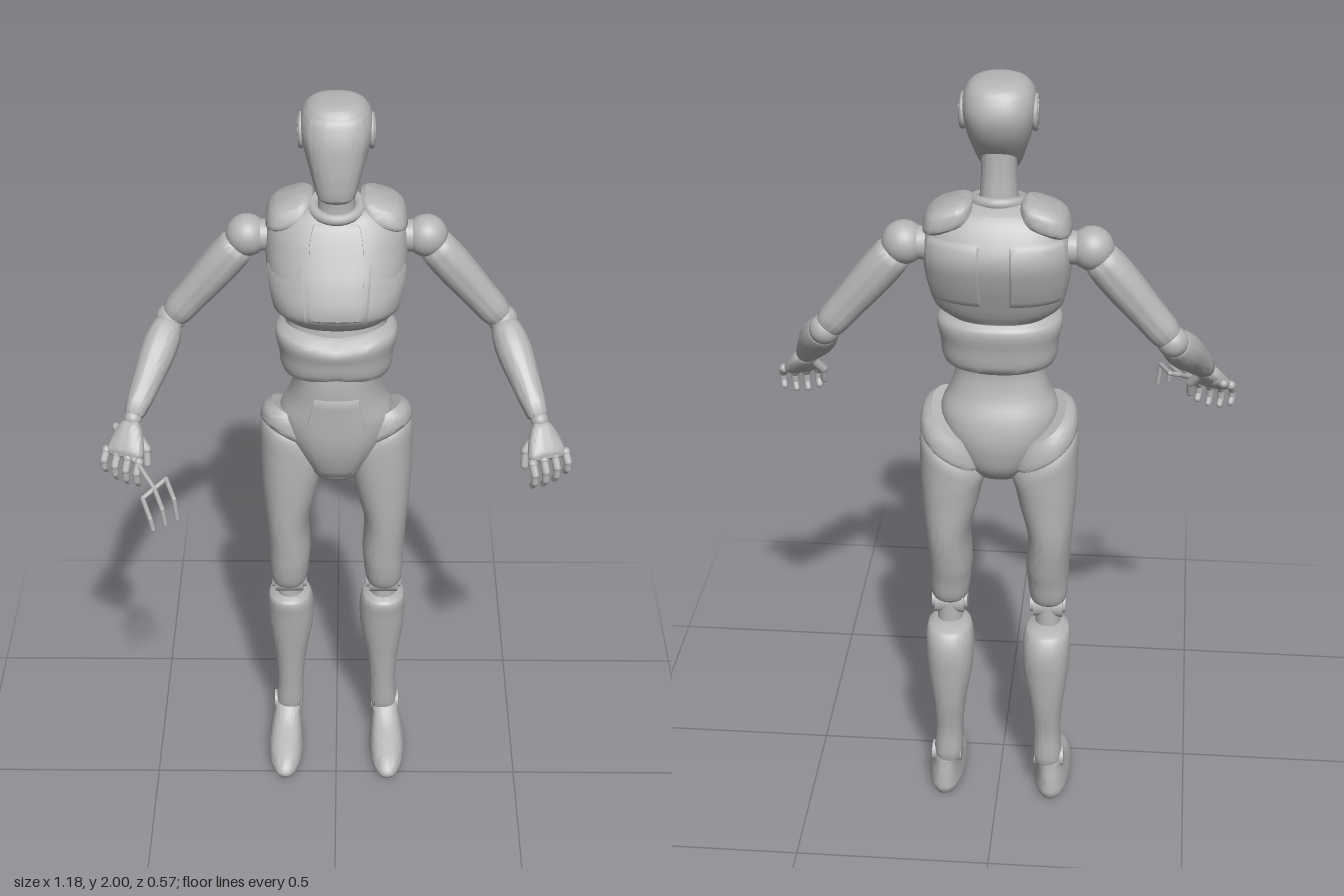
import * as THREE from 'three';
import { toCreasedNormals } from 'three/addons/utils/BufferGeometryUtils.js';

const V = (x, y, z) => new THREE.Vector3(x, y, z);

// Smooth interpolation of section rows [y, cx, cz, halfWidth, frontDepth, backDepth] at height y
function sample(rows, y) {
  const last = rows.length - 1;
  let i = 0;
  while (i < last - 1 && y > rows[i + 1][0]) i++;
  const h = rows[i + 1][0] - rows[i][0], u = (y - rows[i][0]) / h;
  const slope = (k, j) => {
    const a = rows[Math.max(k - 1, 0)], b = rows[Math.min(k + 1, last)];
    return (b[j] - a[j]) / (b[0] - a[0]);
  };
  const u2 = u * u, u3 = u2 * u;
  return rows[i].map((p, j) => (2 * u3 - 3 * u2 + 1) * p + (u3 - 2 * u2 + u) * h * slope(i, j)
    + (3 * u2 - 2 * u3) * rows[i + 1][j] + (u3 - u2) * h * slope(i + 1, j));
}

// Superellipse loft. With a range (from, to, low, high) it makes a raised plate on that surface.
function loft(rows, { n = 2.3, warp, plate, raise = 0.005, crease = 0.75 } = {}) {
  const ys = [], pos = [], index = [], cols = plate ? 20 : 40;
  if (plate) for (let i = 0; i <= 16; i++) ys.push(plate.low + (plate.high - plate.low) * i / 16);
  else {
    rows.slice(1).forEach((r, i) => {
      for (let k = 0; k < 4; k++) ys.push(rows[i][0] + (r[0] - rows[i][0]) * k / 4);
    });
    ys.push(rows[rows.length - 1][0]);
  }
  const stride = plate ? cols + 1 : cols;
  const pw = v => Math.sign(v) * Math.pow(Math.abs(v), 2 / n);
  ys.forEach((y, r) => {
    const [, cx, cz, hw, df, db] = sample(rows, y);
    for (let c = 0; c < stride; c++) {
      const a = plate ? plate.from + (plate.to - plate.from) * c / cols : c / cols * Math.PI * 2;
      const rim = plate && (r === 0 || r === ys.length - 1 || c === 0 || c === cols);
      const e = plate ? (rim ? -0.006 : raise) : 0;
      const p = V(cx + (hw + e) * pw(Math.cos(a)), y, cz + ((Math.sin(a) > 0 ? df : db) + e) * pw(Math.sin(a)));
      if (warp) warp(p, cx, cz);
      pos.push(p.x, p.y, p.z);
    }
  });
  for (let r = 0; r < ys.length - 1; r++) for (let c = 0; c < cols; c++) {
    const d = (c + 1) % stride, a = r * stride, b = a + stride;
    index.push(a + c, b + c, a + d, a + d, b + c, b + d);
  }
  if (!plate) [0, ys.length - 1].forEach(r => {
    const mid = V(0, 0, 0), id = pos.length / 3, o = r * cols;
    for (let c = 0; c < cols; c++) mid.add(V(pos[(o + c) * 3], pos[(o + c) * 3 + 1], pos[(o + c) * 3 + 2]));
    mid.divideScalar(cols);
    pos.push(mid.x, mid.y, mid.z);
    for (let c = 0; c < cols; c++) {
      const d = (c + 1) % cols;
      index.push(id, ...(r === 0 ? [o + c, o + d] : [o + d, o + c]));
    }
  });
  const g = new THREE.BufferGeometry();
  g.setAttribute('position', new THREE.Float32BufferAttribute(pos, 3));
  g.setIndex(index);
  return toCreasedNormals(g, crease);
}

// Turns geometry built along +y so that it runs from a towards b, with its width along side
function aim(geo, a, b, side = V(1, 0, 0)) {
  const y = b.clone().sub(a).normalize();
  const x = side.clone().addScaledVector(y, -side.dot(y)).normalize();
  return geo.applyMatrix4(new THREE.Matrix4().makeBasis(x, y, x.clone().cross(y)).setPosition(a));
}

// Limb with [fraction, halfWidth, halfDepth] stations
function limb(a, b, stations, side) {
  const L = a.distanceTo(b);
  return aim(loft(stations.map(([t, w, d = w]) => [t * L, 0, 0, w, d, d]), { n: 2.1 }), a, b, side);
}

function bar(a, b, r) {
  const L = a.distanceTo(b);
  return aim(new THREE.CapsuleGeometry(r, L, 4, 10).translate(0, L / 2, 0), a, b, V(0.8, 0.1, 0.6));
}

const disc = (r, len, x, y, z) => new THREE.CylinderGeometry(r, r, len, 32).rotateZ(Math.PI / 2).translate(x, y, z);
const ball = (r, p) => new THREE.SphereGeometry(r, 28, 18).translate(p.x, p.y, p.z);

export function createModel() {
  const model = new THREE.Group();
  const grey = new THREE.MeshStandardMaterial({ color: 0xb4b4b4, side: THREE.DoubleSide });
  grey.name = 'matte grey';
  const add = (name, geo) => {
    const m = new THREE.Mesh(geo, grey);
    m.name = name;
    model.add(m);
  };
  const Q = Math.PI / 2;

  // Head, face plate and neck
  const head = [[1.755, 0, -0.065, 0.032, 0.022, 0.02], [1.775, 0, -0.075, 0.047, 0.065, 0.045],
    [1.82, 0, -0.1, 0.062, 0.096, 0.06], [1.87, 0, -0.115, 0.076, 0.108, 0.083],
    [1.92, 0, -0.115, 0.086, 0.1, 0.1], [1.96, 0, -0.115, 0.083, 0.085, 0.09],
    [1.985, 0, -0.115, 0.068, 0.07, 0.07], [1.997, 0, -0.115, 0.042, 0.045, 0.04], [2, 0, -0.115, 0.01, 0.01, 0.01]];
  add('head', loft(head, { n: 2.4 }));
  add('facePlate', loft(head, { n: 2.4, plate: { from: Q - 0.8, to: Q + 0.8, low: 1.768, high: 1.982 } }));
  add('neck', loft([[1.66, 0, -0.135, 0.05, 0.05, 0.05], [1.72, 0, -0.132, 0.045, 0.042, 0.046],
    [1.78, 0, -0.125, 0.042, 0.042, 0.045], [1.86, 0, -0.12, 0.045, 0.045, 0.045]]));
  add('neckCollar', new THREE.TorusGeometry(0.058, 0.014, 12, 36).rotateX(Q + 0.2).translate(0, 1.705, -0.14));

  // Chest with front, side and shoulder blade plates
  const chest = [[1.415, 0, -0.13, 0.12, 0.1, 0.09], [1.44, 0, -0.14, 0.15, 0.138, 0.095],
    [1.475, 0, -0.15, 0.163, 0.165, 0.1], [1.54, 0, -0.165, 0.174, 0.16, 0.11],
    [1.6, 0, -0.175, 0.176, 0.14, 0.112], [1.655, 0, -0.175, 0.165, 0.11, 0.09],
    [1.695, 0, -0.17, 0.125, 0.078, 0.065], [1.712, 0, -0.165, 0.07, 0.05, 0.04]];
  add('chest', loft(chest, { n: 2.4 }));
  add('breastPlate', loft(chest, { n: 2.4, raise: 0.007, plate: { from: Q - 0.33, to: Q + 0.33, low: 1.455, high: 1.69 } }));
  for (const s of [1, -1]) {
    const mid = Q - s * 0.8;
    const slope = p => { if (p.y > 1.5) p.y -= (Math.abs(p.x) - 0.06) * 0.45 * (p.y - 1.5) / 0.12; };
    add('pectoralPlate', loft(chest, { n: 2.4, warp: slope, plate: { from: mid - 0.44, to: mid + 0.44, low: 1.445, high: 1.615 } }));
    const back = -Q + s * 0.62;
    add('shoulderBladePlate', loft(chest, { n: 2.4, plate: { from: back - 0.5, to: back + 0.5, low: 1.47, high: 1.65 } }));
  }

  // Abdomen band, with a dipped top edge and raised lower edge at the front
  const dip = (p, cx, cz) => {
    const f = Math.max(0, (p.z - cz) / 0.14) ** 2 * (1 - Math.abs(p.x) / 0.16);
    p.y += f * (p.y - 1.335) * -0.45;
  };
  add('abdomen', loft([[1.262, 0, -0.11, 0.1, 0.095, 0.075], [1.278, 0, -0.11, 0.134, 0.11, 0.096],
    [1.335, 0, -0.11, 0.145, 0.118, 0.105], [1.39, 0, -0.11, 0.152, 0.122, 0.112],
    [1.412, 0, -0.11, 0.125, 0.09, 0.09]], { warp: dip }));

  // Waist and pelvis
  const pelvis = [[0.945, 0, -0.1, 0.03, 0.03, 0.03], [0.96, 0, -0.11, 0.06, 0.06, 0.06],
    [1, 0, -0.12, 0.085, 0.092, 0.095], [1.05, 0, -0.12, 0.115, 0.108, 0.112], [1.1, 0, -0.12, 0.138, 0.116, 0.115],
    [1.15, 0, -0.115, 0.145, 0.112, 0.108], [1.2, 0, -0.11, 0.122, 0.108, 0.09], [1.26, 0, -0.1, 0.107, 0.098, 0.088],
    [1.32, 0, -0.1, 0.115, 0.09, 0.095], [1.43, 0, -0.11, 0.13, 0.08, 0.1]];
  add('waistAndPelvis', loft(pelvis));
  add('pelvisPlate', loft(pelvis, { raise: 0.004, plate: { from: Q - 0.5, to: Q + 0.5, low: 0.965, high: 1.24 } }));

  for (const s of [1, -1]) {
    const P = (x, y, z) => V(s * x, y, z);
    const side = rows => rows.map(([y, x, ...r]) => [y, s * x, ...r]);

    // Ear disc with ring
    add('earDisc', disc(0.03, 0.03, s * 0.077, 1.915, -0.117));
    add('earRing', new THREE.TorusGeometry(0.037, 0.007, 10, 36).rotateY(Q).translate(s * 0.084, 1.915, -0.117));

    // Shoulder pad
    add('shoulderPad', loft(side([[1.665, 0.115, -0.175, 0.05, 0.07, 0.065], [1.675, 0.115, -0.175, 0.06, 0.08, 0.075],
      [1.71, 0.112, -0.18, 0.054, 0.07, 0.065], [1.722, 0.11, -0.18, 0.04, 0.05, 0.05]]),
    { n: 3, warp: p => { p.y -= (Math.abs(p.x) - 0.09) * 0.3; } }));

    // Leg: thigh and hip band tilt up towards the outside and front
    const tilt = (p, cx, cz) => {
      const f = THREE.MathUtils.smoothstep(p.y, 0.92, 1.07);
      p.y += f * (s * (p.x - cx) * 0.55 + (p.z - cz) * 0.3);
    };
    add('thigh', loft(side([[0.583, 0.128, -0.13, 0.035, 0.045, 0.04], [0.6, 0.128, -0.128, 0.047, 0.062, 0.06],
      [0.66, 0.126, -0.125, 0.053, 0.073, 0.077], [0.7, 0.125, -0.128, 0.055, 0.08, 0.085],
      [0.8, 0.13, -0.135, 0.057, 0.095, 0.096], [0.9, 0.122, -0.135, 0.073, 0.099, 0.099],
      [1, 0.115, -0.135, 0.083, 0.1, 0.1], [1.06, 0.115, -0.135, 0.078, 0.092, 0.094],
      [1.09, 0.115, -0.135, 0.05, 0.06, 0.06]]), { warp: tilt }));
    add('hipBand', loft(side([[1.058, 0.112, -0.135, 0.076, 0.092, 0.092], [1.066, 0.112, -0.135, 0.084, 0.1, 0.1],
      [1.1, 0.11, -0.135, 0.078, 0.096, 0.096], [1.125, 0.105, -0.135, 0.062, 0.085, 0.085]]), { warp: tilt }));
    add('kneeJoint', disc(0.036, 0.075, s * 0.128, 0.578, -0.14));
    add('kneeCap', disc(0.024, 0.092, s * 0.128, 0.578, -0.14));
    add('kneeLink', new THREE.CylinderGeometry(0.03, 0.034, 0.08, 24).translate(s * 0.128, 0.54, -0.147));
    add('shin', loft(side([[0.1, 0.133, -0.182, 0.026, 0.03, 0.03], [0.112, 0.133, -0.182, 0.037, 0.042, 0.042],
      [0.2, 0.13, -0.178, 0.036, 0.047, 0.047], [0.3, 0.128, -0.18, 0.044, 0.06, 0.06],
      [0.4, 0.126, -0.177, 0.059, 0.071, 0.071], [0.47, 0.126, -0.172, 0.062, 0.075, 0.076],
      [0.518, 0.128, -0.162, 0.056, 0.07, 0.066], [0.53, 0.128, -0.157, 0.04, 0.05, 0.045]])));
    add('ankleJoint', disc(0.026, 0.078, s * 0.137, 0.115, -0.182));
    add('foot', loft(side([[0, 0.143, -0.1, 0.04, 0.128, 0.125], [0.018, 0.143, -0.1, 0.048, 0.136, 0.135],
      [0.045, 0.143, -0.105, 0.046, 0.115, 0.128], [0.065, 0.142, -0.125, 0.042, 0.09, 0.105],
      [0.09, 0.14, -0.155, 0.037, 0.058, 0.07], [0.12, 0.137, -0.178, 0.034, 0.038, 0.042],
      [0.13, 0.137, -0.18, 0.022, 0.025, 0.025]])));

    // Arm
    const shoulder = P(0.222, 1.605, -0.178), elbow = P(0.42, 1.368, -0.178), wrist = P(0.508, 1.195, 0.025);
    add('shoulderJoint', ball(0.053, shoulder));
    add('shoulderAxle', disc(0.04, 0.1, s * 0.18, 1.605, -0.178));
    add('upperArm', limb(shoulder, elbow, [[0.08, 0.035], [0.12, 0.045], [0.35, 0.048], [0.7, 0.042], [0.92, 0.038], [0.98, 0.028]]));
    add('elbowJoint', ball(0.038, elbow));
    add('forearm', limb(elbow, wrist, [[0.03, 0.026], [0.08, 0.037], [0.3, 0.045], [0.6, 0.038], [0.94, 0.027], [0.98, 0.02]]));
    add('wristJoint', ball(0.022, wrist));

    // Hand: palm, four curled fingers and a thumb
    add('palm', limb(wrist, P(0.53, 1.12, 0.088), [[0.05, 0.018, 0.014], [0.2, 0.03, 0.02], [0.6, 0.045, 0.021],
      [0.92, 0.05, 0.017], [1, 0.04, 0.01]], P(0.9, 0.05, -0.42)));
    for (let i = 0; i < 4; i++) {
      const k = P(0.49 + i * 0.028, 1.118 + i * 0.003, 0.108 - i * 0.014);
      const reach = [0.9, 1, 0.97, 0.8][i];
      const j1 = k.clone().add(P(0.006, -0.026 * reach, 0.016)), j2 = j1.clone().add(P(0, -0.024 * reach, 0));
      const tip = j2.clone().add(P(-0.004, -0.016 * reach, -0.01));
      add('knuckle', ball(0.012, k));
      add('fingerBase', bar(k, j1, 0.0105));
      add('fingerMiddle', bar(j1, j2, 0.0095));
      add('fingerTip', bar(j2, tip, 0.0085));
    }
    add('thumbBase', bar(P(0.497, 1.165, 0.05), P(0.473, 1.13, 0.068), 0.012));
    add('thumbTip', bar(P(0.473, 1.13, 0.068), P(0.472, 1.095, 0.08), 0.01));
  }

  // Hand fork held in the right hand
  const grip = V(-0.5, 1.12, 0.1), neck = V(-0.447, 1.09, 0.183);
  add('forkHandle', bar(V(-0.553, 1.16, 0.01), grip, 0.011));
  add('forkShaft', bar(grip, neck, 0.006));
  add('forkCrossbar', bar(V(-0.475, 1.075, 0.204), V(-0.419, 1.105, 0.162), 0.006));
  for (let i = 0; i < 3; i++) {
    const base = V(-0.475 + i * 0.028, 1.075 + i * 0.015, 0.204 - i * 0.021);
    const bend = base.clone().add(V(0.024, -0.012, 0.07));
    add('forkTine', bar(base, bend, 0.006));
    add('forkTineTip', bar(bend, bend.clone().add(V(0.006, -0.03 - i * 0.014, 0.003)), 0.006));
  }
  return model;
}
